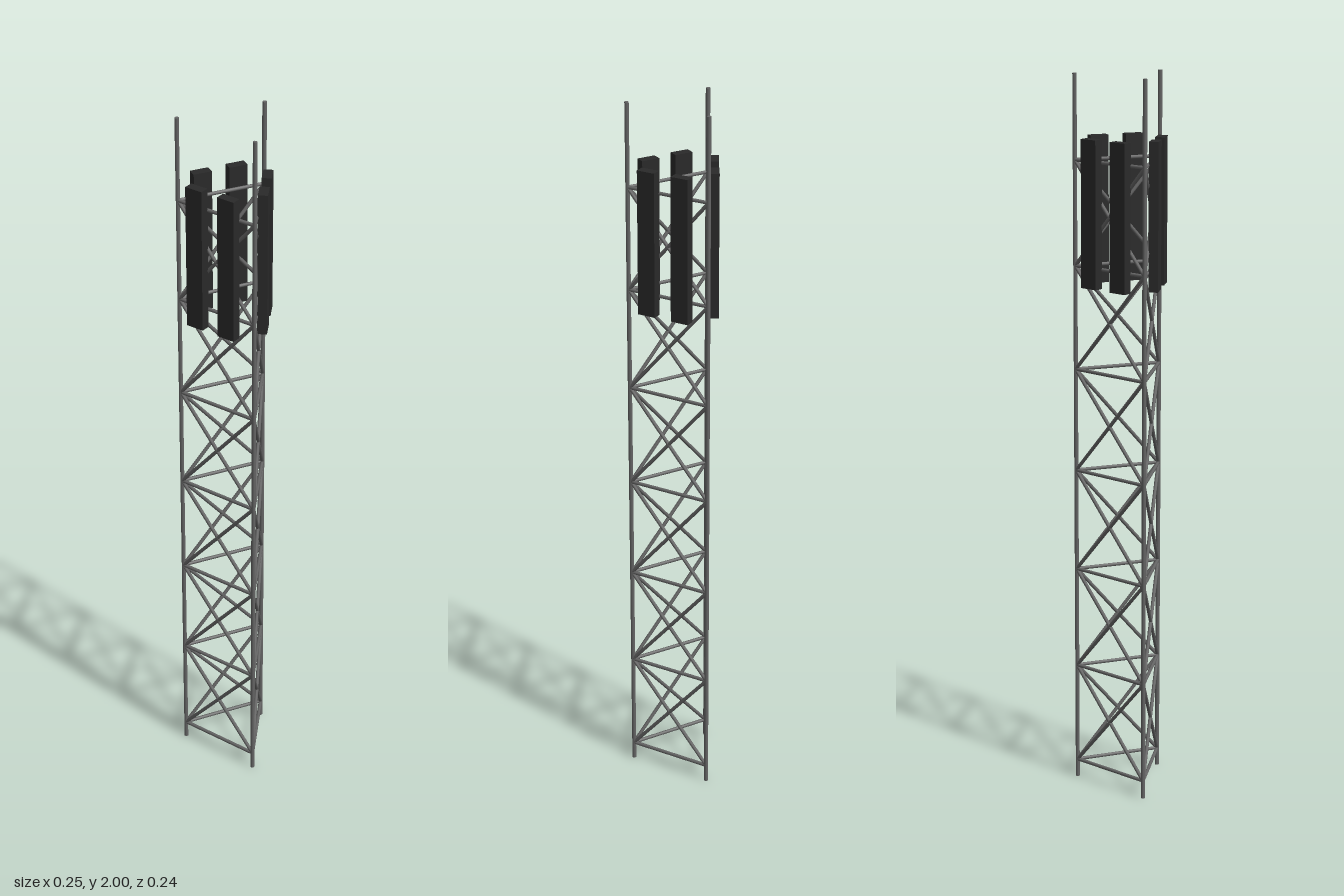
import * as THREE from 'three';

const CENTRE_Z = 0.023;   // axis of the triangular mast
const LEG_DIST = 0.14;    // axis to each leg
const LEVELS = 7, FIRST_Y = 0.051, STEP = 0.2865;

export function createModel() {
  const model = new THREE.Group();
  model.name = 'latticeTower';
  const steel = new THREE.MeshStandardMaterial({ color: 0x666666 });
  const dark = new THREE.MeshStandardMaterial({ color: 0x2a2a2a });

  // Round bar between two points
  function bar(name, a, b, radius, parent) {
    const dir = b.clone().sub(a);
    const mesh = new THREE.Mesh(new THREE.CylinderGeometry(radius, radius, dir.length(), 8), steel);
    mesh.position.copy(a).add(b).multiplyScalar(0.5);
    mesh.quaternion.setFromUnitVectors(new THREE.Vector3(0, 1, 0), dir.normalize());
    mesh.name = name;
    parent.add(mesh);
  }

  // Three identical sides, each with one leg, its bracing and two antennas
  for (let s = 0; s < 3; s++) {
    const side = new THREE.Group();
    side.name = 'towerSide' + (s + 1);
    side.position.z = CENTRE_Z;
    side.rotation.y = s * Math.PI * 2 / 3;
    model.add(side);

    const half = LEG_DIST * Math.sin(Math.PI / 3);
    const face = LEG_DIST * 0.5;
    const at = (x, y) => new THREE.Vector3(x * half, y, face);

    bar('leg', at(1, 0), at(1, 2), 0.006, side);

    // Horizontal struts and crossed diagonals
    for (let i = 0; i < LEVELS; i++) {
      const y = FIRST_Y + i * STEP;
      bar('strut', at(-1, y), at(1, y), 0.005, side);
      if (i < LEVELS - 1) {
        bar('diagonal', at(-1, y), at(1, y + STEP), 0.005, side);
        bar('diagonal', at(1, y), at(-1, y + STEP), 0.005, side);
      }
    }

    // Panel antennas
    for (const x of [-0.05, 0.05]) {
      const panel = new THREE.Mesh(new THREE.BoxGeometry(0.051, 0.4, 0.026), dark);
      panel.position.set(x, 1.632, face + 0.0155);
      panel.name = 'panelAntenna';
      side.add(panel);
    }
  }
  return model;
}
